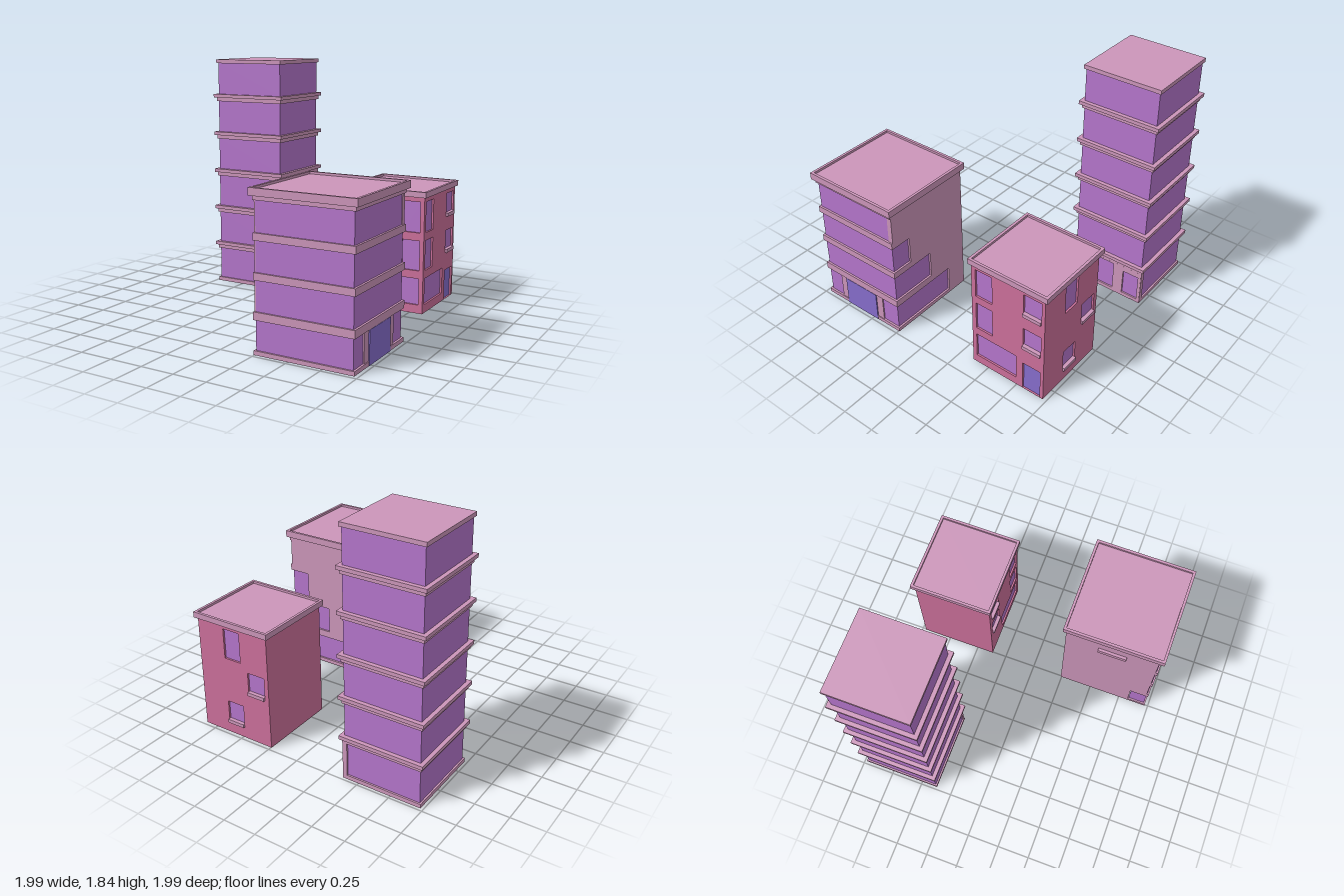
import * as THREE from 'three';

const mat = (name, color) => Object.assign(new THREE.MeshStandardMaterial({ color }), { name });

export function createModel() {
  const trim = mat('pink trim', 0xcc96ba);
  const glass = mat('purple glass', 0xb576cc);
  const brick = mat('rose wall', 0xcc709b);
  const doorBlue = mat('blue door', 0x866dcc);

  // Box given by its limits on each axis
  const box = (parent, name, m, x0, x1, y0, y1, z0, z1) => {
    const mesh = new THREE.Mesh(new THREE.BoxGeometry(x1 - x0, y1 - y0, z1 - z0), m);
    mesh.position.set((x0 + x1) / 2, (y0 + y1) / 2, (z0 + z1) / 2);
    mesh.name = name;
    parent.add(mesh);
    return mesh;
  };
  const rect = (T, x0, x1, y0, y1) => {
    const p = new T();
    p.moveTo(x0, y0);
    p.lineTo(x1, y0);
    p.lineTo(x1, y1);
    p.lineTo(x0, y1);
    p.closePath();
    return p;
  };
  // Square ring lying flat, open in the middle
  const ring = (parent, name, m, cx, cz, size, rim, y0, y1) => {
    const a = size / 2, b = a - rim;
    const s = rect(THREE.Shape, -a, a, -a, a);
    s.holes.push(rect(THREE.Path, -b, b, -b, b));
    const mesh = new THREE.Mesh(new THREE.ExtrudeGeometry(s, { depth: y1 - y0, bevelEnabled: false }), m);
    mesh.rotation.x = -Math.PI / 2;
    mesh.position.set(cx, y0, cz);
    mesh.name = name;
    parent.add(mesh);
  };
  // Upright wall with openings [u0, u1, y0, y1, kind]; it faces +z before turning
  const wall = (parent, name, m, u0, u1, h, openings, turn, x, z) => {
    const g = new THREE.Group();
    const s = rect(THREE.Shape, u0, u1, 0, h);
    for (const [a, b, c, d, kind] of openings) {
      s.holes.push(rect(THREE.Path, a, b, c, d));
      box(g, kind === 'door' ? 'door' : 'window', kind === 'door' ? doorBlue : glass, a, b, c, d, 0.001, 0.006);
      if (kind === 'sill') box(g, 'windowSill', trim, a, b, c, c + 0.027, 0.002, 0.034);
    }
    const mesh = new THREE.Mesh(new THREE.ExtrudeGeometry(s, { depth: 0.02, bevelEnabled: false }), m);
    mesh.name = name;
    g.add(mesh);
    g.name = name + 'Group';
    g.rotation.y = turn;
    g.position.set(x, 0, z);
    parent.add(g);
  };

  const model = new THREE.Group();
  model.name = 'cityBlock';

  // Tall tower: six hollow glass storeys between stepped ledges
  const tower = new THREE.Group();
  tower.name = 'tower';
  const tc = -0.677, step = 0.305;
  ring(tower, 'baseLedge', trim, tc, tc, 0.605, 0.03, 0, 0.03);
  for (let i = 0; i < 6; i++) {
    const top = (i + 1) * step;
    ring(tower, 'storeyGlass', glass, tc, tc, 0.58, 0.02, i * step + 0.03, top - 0.025);
    if (i < 5) {
      ring(tower, 'lowerLedge', trim, tc, tc, 0.605, 0.08, top - 0.025, top + 0.005);
      ring(tower, 'upperLedge', trim, tc, tc, 0.64, 0.09, top + 0.005, top + 0.032);
    }
  }
  box(tower, 'roof', trim, tc - 0.3025, tc + 0.3025, 1.805, 1.835, tc - 0.3025, tc + 0.3025);
  // Entrance side, with a corner post
  wall(tower, 'entranceWall', trim, 0.38, 0.975, 0.28,
    [[0.405, 0.735, 0.03, 0.265], [0.82, 0.955, 0.002, 0.235, 'door']], Math.PI / 2, -0.394, 0);
  box(tower, 'cornerPost', trim, -0.41, -0.376, 0, 0.28, -0.979, -0.95);
  model.add(tower);

  // Wide building: glass on two sides, solid walls on the other two
  const wide = new THREE.Group();
  wide.name = 'wideBuilding';
  const wc = 0.608;
  const floors = [
    [0.03, 0.235, 0.55, 0.13],
    [0.29, 0.5, 0.36, 0],
    [0.55, 0.76, 0.16, 0],
    [0.81, 1.02, 0, 0],
  ];
  ring(wide, 'baseLedge', trim, wc, wc, 0.73, 0.03, 0, 0.03);
  floors.forEach(([y0, y1, back, side], i) => {
    box(wide, 'frontGlass', glass, 0.256, 0.958, y0, y1, 0.94, 0.96);
    box(wide, 'entranceSideGlass', glass, 0.94, 0.958, y0, y1, 0.258, 0.94);
    if (back) box(wide, 'backGlass', glass, 0.958 - back, 0.94, y0, y1, 0.258, 0.275);
    if (side) box(wide, 'sideGlass', glass, 0.256, 0.274, y0, y1, 0.96 - side, 0.94);
    box(wide, 'backWall', trim, 0.243, 0.962 - back, y0, y1, 0.243, 0.28);
    box(wide, 'sideWall', trim, 0.243, 0.275, y0, y1, 0.28, 0.955 - side);
    if (i < 3) ring(wide, 'floorLedge', trim, wc, wc, 0.73, 0.06, y1, floors[i + 1][0]);
  });
  box(wide, 'entranceWall', trim, 0.94, 0.967, 0, 0.24, 0.4, 0.83);
  box(wide, 'door', doorBlue, 0.966, 0.975, 0, 0.235, 0.46, 0.77);
  box(wide, 'sideSill', trim, 0.222, 0.245, 0.88, 0.92, 0.5, 0.72);
  box(wide, 'eaves', trim, 0.243, 0.973, 1.02, 1.05, 0.243, 0.973);
  box(wide, 'roof', trim, 0.222, 0.993, 1.05, 1.085, 0.222, 0.993);
  ring(wide, 'roofRim', trim, 0.6075, 0.6075, 0.771, 0.02, 1.085, 1.102);
  model.add(wide);

  // Small block: rose walls with recessed windows on three sides
  const small = new THREE.Group();
  small.name = 'smallBlock';
  box(small, 'core', brick, 0.245, 0.832, 0, 0.875, -0.952, -0.385);
  wall(small, 'entranceWall', brick, 0.365, 0.972, 0.875, [
    [0.4, 0.54, 0.61, 0.84], [0.4, 0.54, 0.325, 0.55], [0.4, 0.745, 0.065, 0.265],
    [0.8, 0.945, 0.66, 0.84, 'sill'], [0.8, 0.945, 0.375, 0.55, 'sill'],
    [0.8, 0.945, 0.002, 0.235, 'door'],
  ], Math.PI / 2, 0.832, 0);
  wall(small, 'frontWall', brick, 0.245, 0.832, 0.875, [
    [0.68, 0.82, 0.61, 0.84], [0.68, 0.82, 0.325, 0.55], [0.475, 0.82, 0.065, 0.265],
    [0.28, 0.425, 0.66, 0.84, 'sill'], [0.28, 0.425, 0.375, 0.55, 'sill'],
  ], 0, 0, -0.385);
  wall(small, 'backWall', brick, -0.832, -0.245, 0.875, [
    [-0.625, -0.485, 0.61, 0.84], [-0.425, -0.28, 0.375, 0.55, 'sill'],
    [-0.625, -0.485, 0.085, 0.26, 'sill'],
  ], Math.PI, 0, -0.952);
  box(small, 'roof', trim, 0.22, 0.868, 0.875, 0.9, -0.997, -0.349);
  ring(small, 'roofRim', trim, 0.544, -0.673, 0.648, 0.02, 0.9, 0.917);
  model.add(small);

  return model;
}
